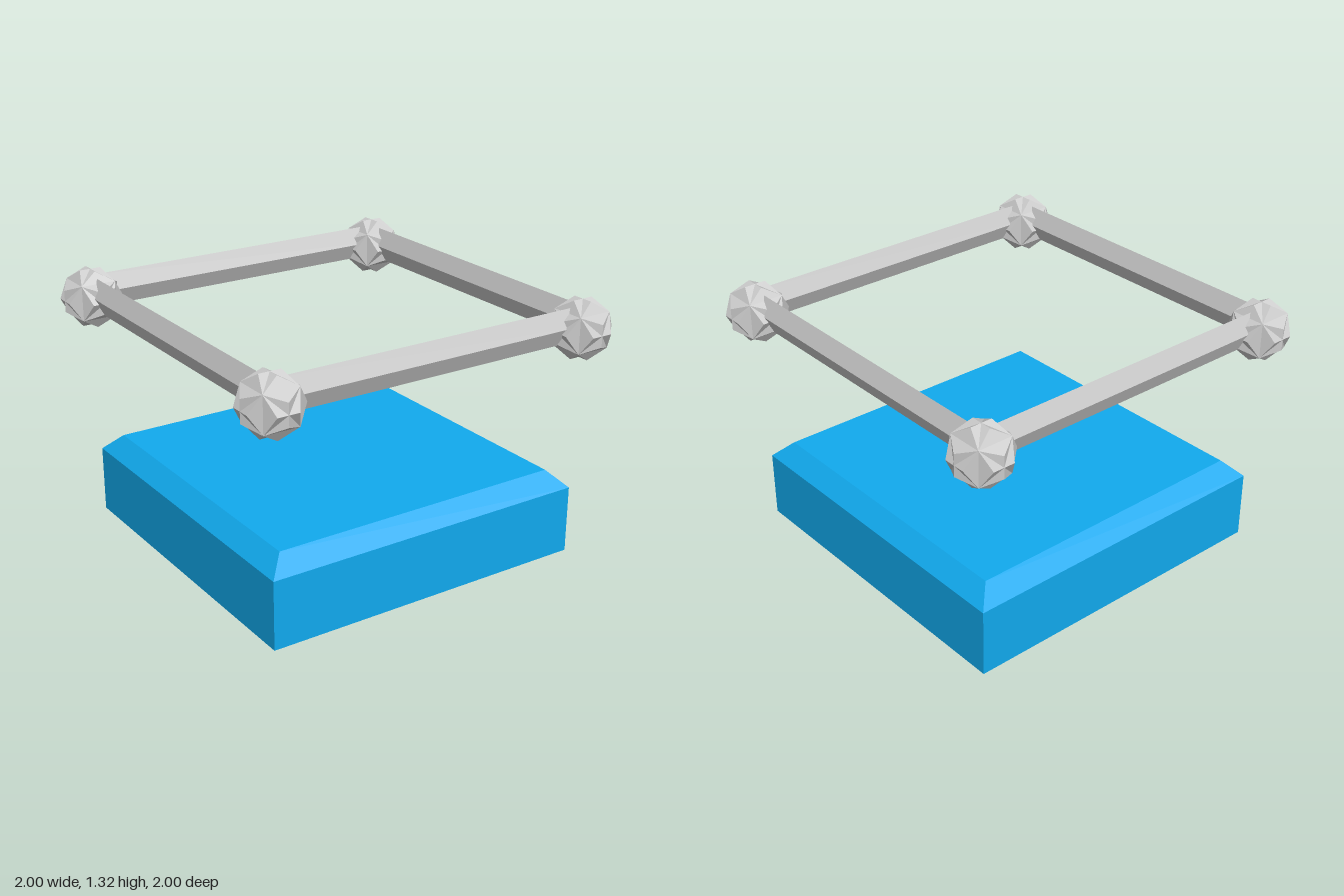
import * as THREE from 'three';

const CORNER = 0.855; // distance of the corner balls from the centre axes

export function createModel() {
  const model = new THREE.Group();
  const blue = new THREE.MeshStandardMaterial({ color: 0x11aaee, flatShading: true });
  const grey = new THREE.MeshStandardMaterial({ color: 0xcccccc, flatShading: true });

  function add(parent, name, geometry, material) {
    const mesh = new THREE.Mesh(geometry, material);
    mesh.name = name;
    parent.add(mesh);
    return mesh;
  }

  // Square base with a bevelled top: a four-sided lathe
  const profile = [[0, 0], [0.853, 0], [0.853, 0.345], [0.767, 0.43], [0, 0.43]]
    .map(([half, y]) => new THREE.Vector2(half * Math.SQRT2, y));
  add(model, 'base', new THREE.LatheGeometry(profile, 4, Math.PI / 4), blue);

  // Floating square frame of diamond-section rods
  const frame = new THREE.Group();
  frame.name = 'frame';
  model.add(frame);

  const rodGeometry = new THREE.CylinderGeometry(1, 1, 2 * CORNER, 4);
  rodGeometry.scale(0.086, 1, 0.04).rotateZ(Math.PI / 2);
  const ballGeometry = new THREE.DodecahedronGeometry(0.155);

  for (let i = 0; i < 4; i++) {
    const side = new THREE.Group();
    side.name = 'frameSide';
    side.rotation.y = i * Math.PI / 2;
    frame.add(side);

    add(side, 'rod', rodGeometry, grey).position.set(0, 1.201, CORNER);

    // Corner ball: two crossed dodecahedra, a quarter turn apart
    const ball = new THREE.Group();
    ball.name = 'cornerBall';
    ball.position.set(CORNER, 1.175, CORNER);
    side.add(ball);
    add(ball, 'dodecahedron', ballGeometry, grey);
    add(ball, 'crossedDodecahedron', ballGeometry, grey).rotation.y = Math.PI / 2;
  }
  return model;
}
